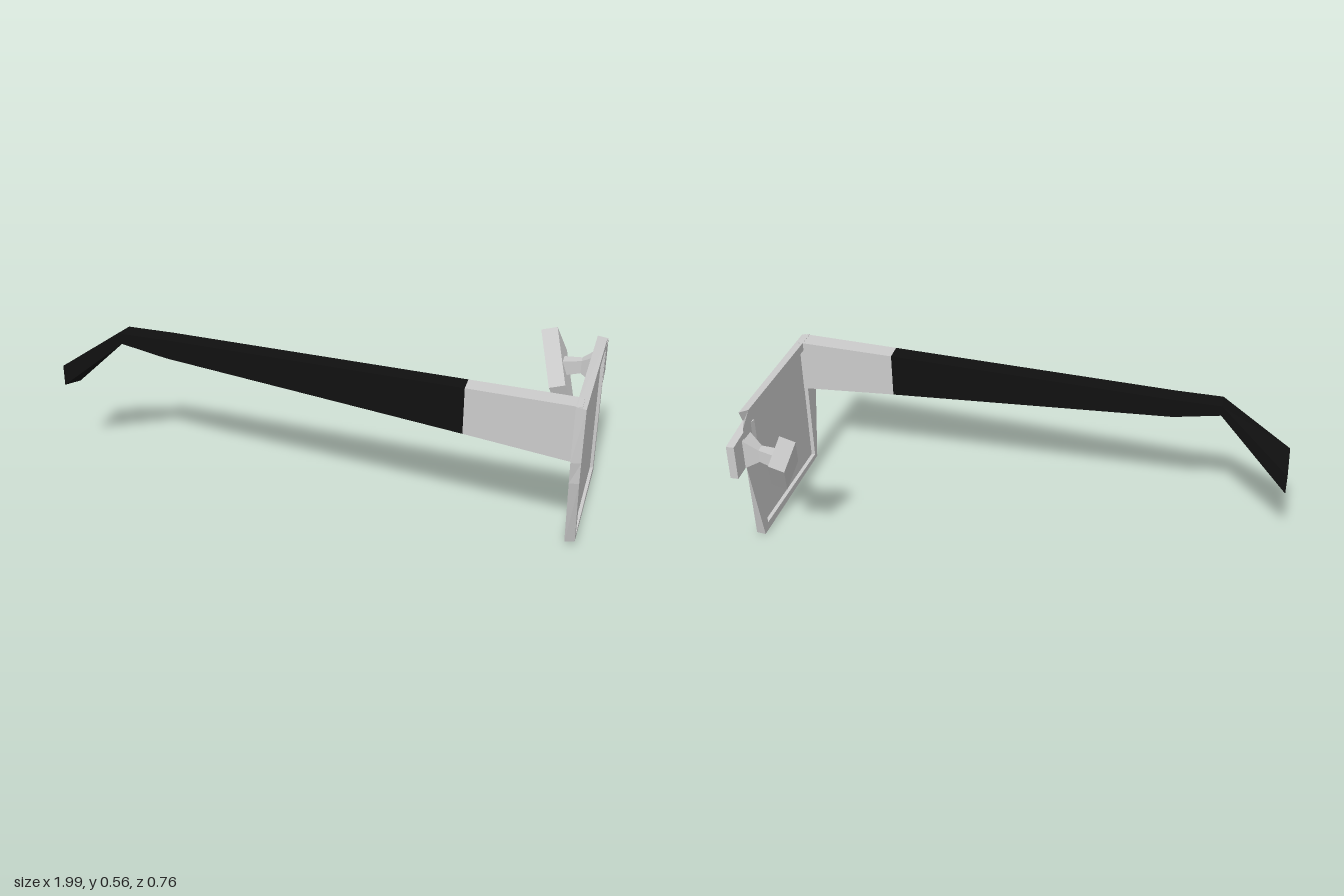
import * as THREE from 'three';

const grey = new THREE.MeshStandardMaterial({ color: 0xcccccc, flatShading: true });
const black = new THREE.MeshStandardMaterial({ color: 0x101010, flatShading: true });

// Joins rings of [x, y, z] corners; either wraps back to the first ring or caps both ends.
function loft(name, rings, material, wrap = false) {
  const pos = [];
  const n = rings[0].length;
  const tri = (a, b, c) => pos.push(...a, ...b, ...c);
  const count = wrap ? rings.length : rings.length - 1;
  for (let r = 0; r < count; r++) {
    const p = rings[r], q = rings[(r + 1) % rings.length];
    for (let i = 0; i < n; i++) {
      const j = (i + 1) % n;
      tri(p[i], q[i], q[j]);
      tri(p[i], q[j], p[j]);
    }
  }
  if (!wrap) {
    const first = rings[0], last = rings[rings.length - 1];
    for (let i = 1; i < n - 1; i++) {
      tri(first[0], first[i], first[i + 1]);
      tri(last[0], last[i + 1], last[i]);
    }
  }
  const geo = new THREE.BufferGeometry();
  geo.setAttribute('position', new THREE.Float32BufferAttribute(pos, 3));
  geo.computeVertexNormals();
  const mesh = new THREE.Mesh(geo, material);
  mesh.name = name;
  return mesh;
}

// Rectangular section across x
const sectionX = (x, top, bottom, zIn, zOut) =>
  [[x, top, zIn], [x, top, zOut], [x, bottom, zOut], [x, bottom, zIn]];

// Rectangular section across z
const sectionZ = (z, top, bottom, front, back) =>
  [[front, top, z], [back, top, z], [back, bottom, z], [front, bottom, z]];

export function createModel() {
  const group = new THREE.Group();

  // Lens rim: slightly swept loop with a flared nose side, outlines as [z, y]
  const backOuter = [[0.375, 0.565], [-0.23, 0.565], [-0.29, 0.52], [-0.305, 0.365],
    [-0.23, 0], [0.32, 0.013], [0.37, 0.275], [0.383, 0.36]];
  const frontOuter = [[0.375, 0.558], [-0.24, 0.555], [-0.215, 0.5], [-0.22, 0.365],
    [-0.23, 0.004], [0.315, 0.016], [0.375, 0.28], [0.378, 0.36]];
  const opening = [[0.3, 0.532], [-0.197, 0.532], [-0.197, 0.49], [-0.197, 0.365],
    [-0.197, 0.033], [0.3, 0.033], [0.3, 0.275], [0.3, 0.36]];
  const frontX = (z) => 0.968 + 0.03 * (0.375 - z);
  const ring = (outline, depth) => outline.map(([z, y]) => [frontX(z) - depth, y, z]);
  group.add(loft('lensRim', [ring(backOuter, 0.035), ring(frontOuter, 0),
    ring(opening, 0), ring(opening, 0.035)], grey, true));

  // Lens
  const lens = new THREE.Mesh(new THREE.BoxGeometry(0.008, 0.503, 0.501), grey);
  lens.name = 'lens';
  lens.position.set(0.962, 0.2825, 0.0515);
  lens.rotation.y = -0.03;
  group.add(lens);

  // Half bridge over the nose
  group.add(loft('bridge', [
    sectionZ(-0.205, 0.51, 0.365, 0.987, 0.945),
    sectionZ(-0.24, 0.507, 0.364, 0.985, 0.955),
    sectionZ(-0.38, 0.495, 0.36, 0.985, 0.955),
  ], grey));

  // Nose pad: a tilted slab spanned by three edges from its top corner
  const at = (a, b, c) => [
    0.735 + 0.058 * a + 0.04 * b + 0.06 * c,
    0.52 - 0.175 * a - 0.11 * b + 0.018 * c,
    -0.335 + 0.135 * a - 0.04 * b,
  ];
  group.add(loft('nosePad', [0, 1].map((a) =>
    [at(a, 0, 0), at(a, 0, 1), at(a, 1, 1), at(a, 1, 0)]), grey));

  // Arm holding the pad
  group.add(loft('padArm', [
    sectionX(0.958, 0.48, 0.36, -0.31, -0.235),
    sectionX(0.9, 0.44, 0.39, -0.3, -0.265),
    sectionX(0.82, 0.43, 0.37, -0.315, -0.26),
  ], grey));

  // Temple: grey end piece, then the black arm with its bent ear tip
  const joint = sectionX(0.56, 0.565, 0.392, 0.265, 0.336);
  group.add(loft('templeEndPiece', [
    sectionX(0.955, 0.564, 0.355, 0.298, 0.372), joint], grey));
  group.add(loft('templeArm', [
    joint,
    sectionX(-0.56, 0.565, 0.492, 0.165, 0.236),
    sectionX(-0.735, 0.565, 0.525, 0.157, 0.228),
    [[-1, 0.345, 0.075], [-1, 0.39, 0.2], [-1, 0.31, 0.2], [-1, 0.27, 0.075]],
  ], black));

  return group;
}
